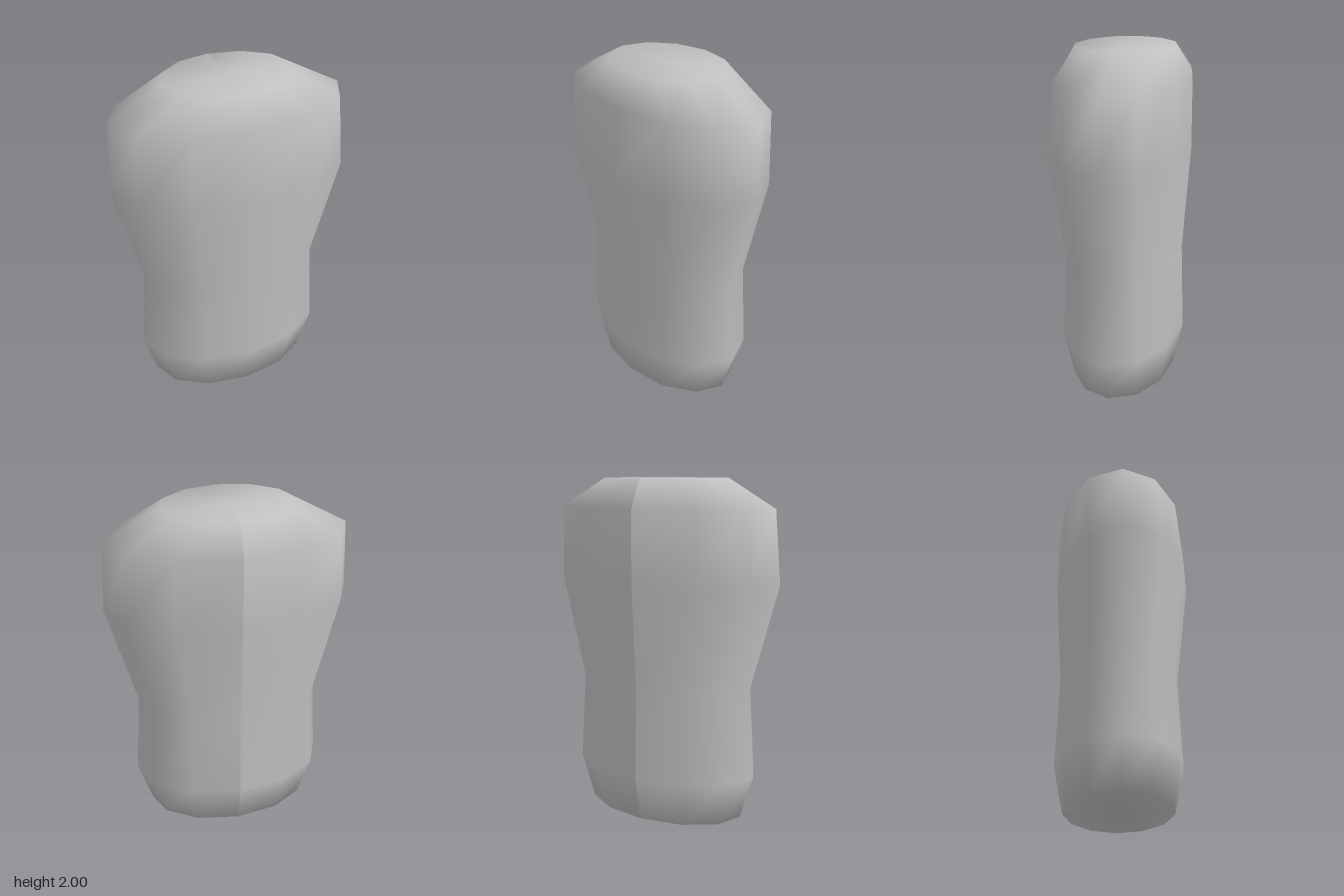
import * as THREE from 'three';

const SIDES = 12;

// Cross-sections from bottom to top: height, half width, front z, back z
const SECTIONS = [
  [0.0, 0.51, 0.3, -0.33],
  [0.27, 0.59, 0.355, -0.385],
  [0.8, 0.555, 0.335, -0.365],
  [1.42, 0.715, 0.41, -0.405],
  [1.835, 0.685, 0.37, -0.4],
  [2.0, 0.38, 0.28, -0.31],
];

// Closed loft through elliptical sections, with a seam down the middle of the back
function loftGeometry(sections) {
  const positions = [];
  const indices = [];
  const row = SIDES + 1;
  for (const [y, width, front, back] of sections) {
    for (let j = 0; j <= SIDES; j++) {
      const a = (j / SIDES) * Math.PI * 2;
      positions.push(
        width * Math.sin(a), y,
        (front + back) / 2 - ((front - back) / 2) * Math.cos(a));
    }
  }

  // Centres of the two end caps
  const top = sections.length - 1;
  const bottomCentre = sections.length * row;
  const topCentre = bottomCentre + 1;
  for (const [y, , front, back] of [sections[0], sections[top]]) {
    positions.push(0, y, (front + back) / 2);
  }

  for (let j = 0; j < SIDES; j++) {
    for (let i = 0; i < top; i++) {
      const a = i * row + j;
      const c = a + row;
      indices.push(a, c, a + 1, a + 1, c, c + 1);
    }
    indices.push(bottomCentre, j, j + 1);
    indices.push(topCentre, top * row + j + 1, top * row + j);
  }

  const geometry = new THREE.BufferGeometry();
  geometry.setAttribute('position', new THREE.Float32BufferAttribute(positions, 3));
  geometry.setIndex(indices);
  geometry.computeVertexNormals();
  return geometry;
}

export function createModel() {
  const grey = new THREE.MeshStandardMaterial({ color: 0xc0c0c0 });
  grey.name = 'light grey';

  const torso = new THREE.Mesh(loftGeometry(SECTIONS), grey);
  torso.name = 'torso';

  const model = new THREE.Group();
  model.name = 'torsoModel';
  model.add(torso);
  return model;
}
